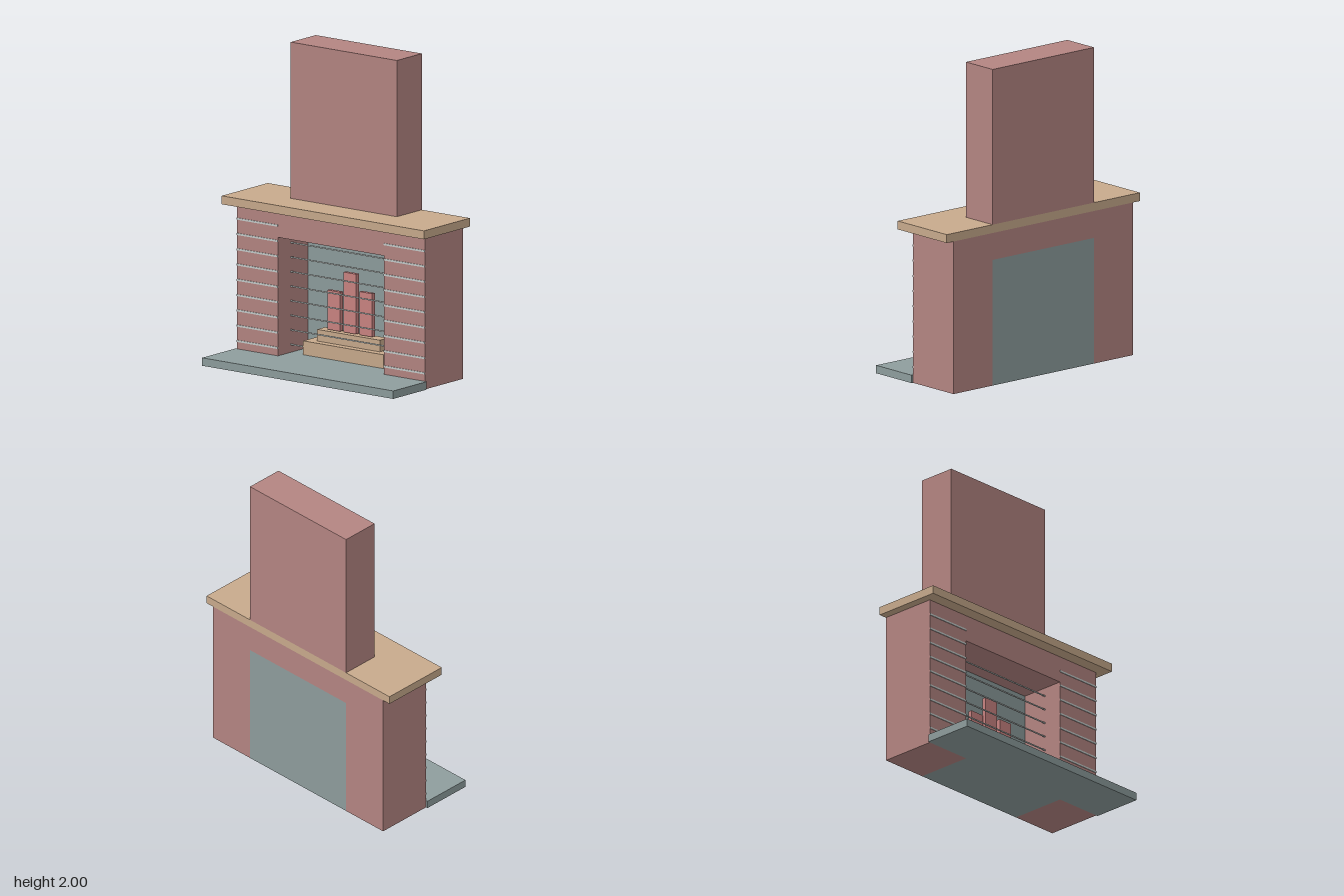
import * as THREE from 'three';

const flat = (name, color) => {
  const m = new THREE.MeshStandardMaterial({ color });
  m.name = name;
  return m;
};

export function createModel() {
  const brick = flat('brick', 0xb48582);
  const stone = flat('stone', 0x8e9d9d);
  const wood = flat('wood', 0xc8aa8c);
  const flame = flat('flame', 0xca8482);
  const mortar = flat('mortar', 0xc6ccca);

  const model = new THREE.Group();
  model.name = 'fireplace';

  // Box given by its extents on each axis
  const box = (name, material, [x0, x1], [y0, y1], [z0, z1], parent = model) => {
    const mesh = new THREE.Mesh(new THREE.BoxGeometry(x1 - x0, y1 - y0, z1 - z0), material);
    mesh.position.set((x0 + x1) / 2, (y0 + y1) / 2, (z0 + z1) / 2);
    mesh.name = name;
    parent.add(mesh);
    return mesh;
  };
  const group = (name) => {
    const g = new THREE.Group();
    g.name = name;
    model.add(g);
    return g;
  };

  const back = -0.352, front = 0.022, opening = 0.415, side = 0.735;

  // Brick surround: two pillars joined by a lintel
  const outline = new THREE.Shape([
    [-side, 0], [-opening, 0], [-opening, 0.795], [opening, 0.795],
    [opening, 0], [side, 0], [side, 0.965], [-side, 0.965],
  ].map(([x, y]) => new THREE.Vector2(x, y)));
  const surround = new THREE.Mesh(
    new THREE.ExtrudeGeometry(outline, { depth: front - back, bevelEnabled: false }), brick);
  surround.position.z = back;
  surround.name = 'surround';
  model.add(surround);

  // Mantel, chimney and hearth
  box('mantel', wood, [-0.79, 0.79], [0.965, 1.018], [back, 0.103]);
  box('chimney', brick, [-opening, opening], [1.018, 2], [back, -0.104]);
  box('hearth', stone, [-0.747, 0.747], [0, 0.05], [front, 0.352]);

  // Firebox back wall and floor
  box('fireboxBack', stone, [-opening, opening], [0, 0.795], [back, -0.277]);
  box('fireboxFloor', stone, [-opening, opening], [0, 0.05], [-0.277, front]);

  // Mortar strips on the pillars
  const joints = group('pillarMortar');
  for (let i = 0; i < 9; i++) {
    const y = 0.1 + i * 0.096;
    for (const s of [-1, 1]) {
      const a = s * opening, b = s * side;
      box('mortarStrip', mortar, [Math.min(a, b), Math.max(a, b)],
        [y - 0.006, y + 0.006], [front - 0.002, front + 0.004], joints);
    }
  }

  // Thin strips across the firebox
  const strips = group('fireboxMortar');
  for (let i = 0; i < 8; i++) {
    const y = 0.1 + i * 0.0915;
    box('fireboxStrip', mortar, [-opening, opening], [y - 0.004, y + 0.004], [-0.108, -0.103], strips);
  }

  // Stacked logs
  box('lowerLog', wood, [-0.315, 0.315], [0.05, 0.137], [-0.1, -0.25]
    .sort((a, b) => a - b));
  box('upperLog', wood, [-0.245, 0.245], [0.137, 0.21], [-0.23, -0.15]);

  // Flames: centre x and top height
  const fire = group('flames');
  for (const [x, top] of [[-0.125, 0.465], [0, 0.595], [0.125, 0.49]]) {
    box('flame', flame, [x - 0.05, x + 0.05], [0.218, top], [-0.19, -0.163], fire);
  }

  return model;
}
